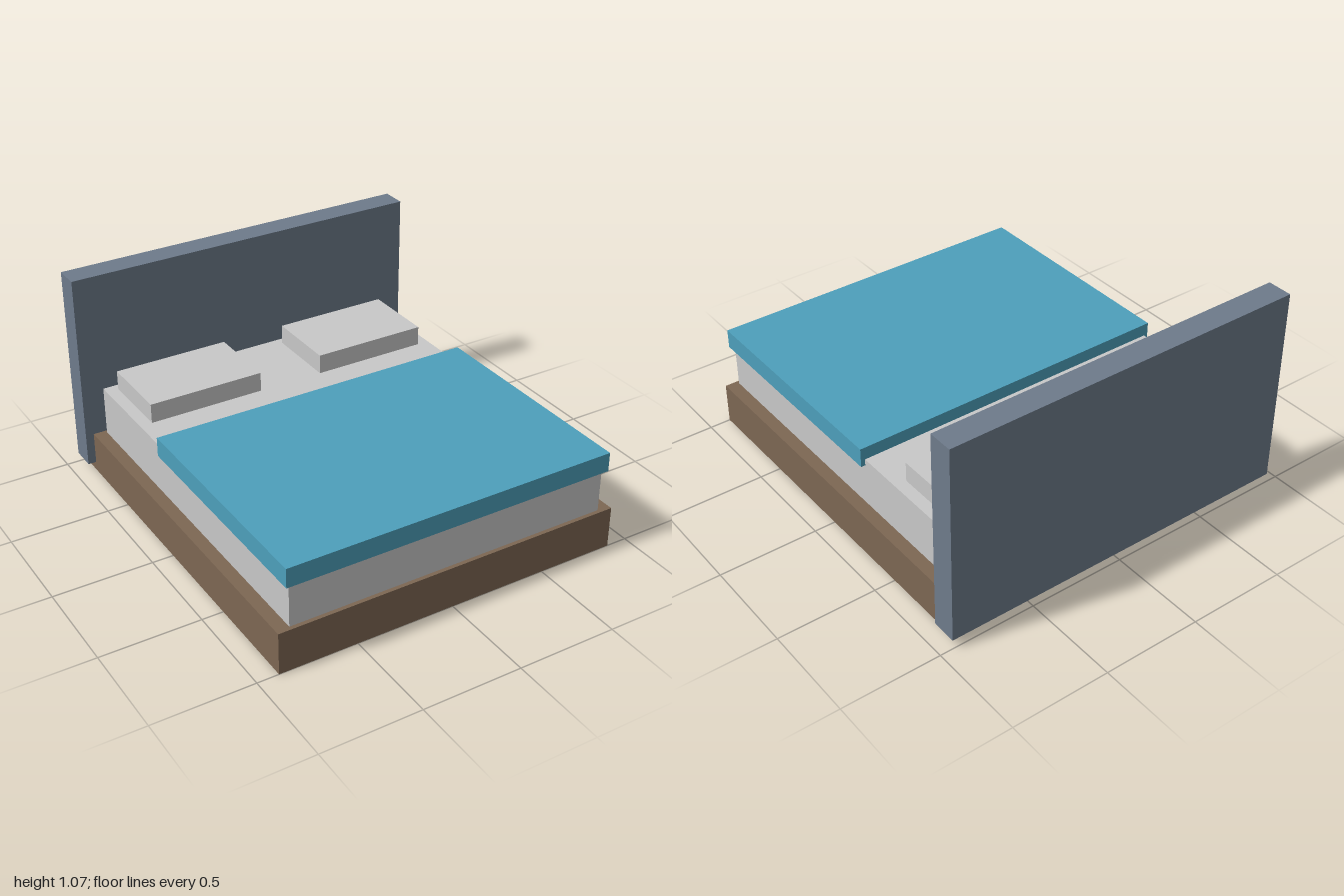
import * as THREE from 'three';

const wood = new THREE.MeshStandardMaterial({ name: 'brown wood', color: 0x7d6753 });
const slate = new THREE.MeshStandardMaterial({ name: 'slate upholstery', color: 0x6e7b8b });
const linen = new THREE.MeshStandardMaterial({ name: 'light grey linen', color: 0xc8c8c8 });
const blue = new THREE.MeshStandardMaterial({ name: 'blue fabric', color: 0x4d9fbb });

// Box given by its extents along each axis
function block(name, material, [x0, x1], [y0, y1], [z0, z1]) {
  const mesh = new THREE.Mesh(new THREE.BoxGeometry(x1 - x0, y1 - y0, z1 - z0), material);
  mesh.position.set((x0 + x1) / 2, (y0 + y1) / 2, (z0 + z1) / 2);
  mesh.name = name;
  return mesh;
}

export function createModel() {
  const bed = new THREE.Group();
  bed.name = 'bed';

  // Frame and headboard, which hangs slightly above the floor
  bed.add(block('bedFrame', wood, [-0.893, 0.893], [0, 0.213], [-0.96, 1]));
  bed.add(block('headboard', slate, [-0.935, 0.935], [0.048, 1.07], [-1, -0.873]));

  // Mattress with the blanket over its foot end
  bed.add(block('mattress', linen, [-0.828, 0.828], [0.213, 0.465], [-0.855, 0.98]));
  bed.add(block('blanket', blue, [-0.85, 0.85], [0.432, 0.53], [-0.196, 1]));

  // Pair of pillows
  for (const [name, x] of [['leftPillow', 0.468], ['rightPillow', -0.468]]) {
    bed.add(block(name, linen, [x - 0.298, x + 0.298], [0.465, 0.565], [-0.813, -0.43]));
  }
  return bed;
}
